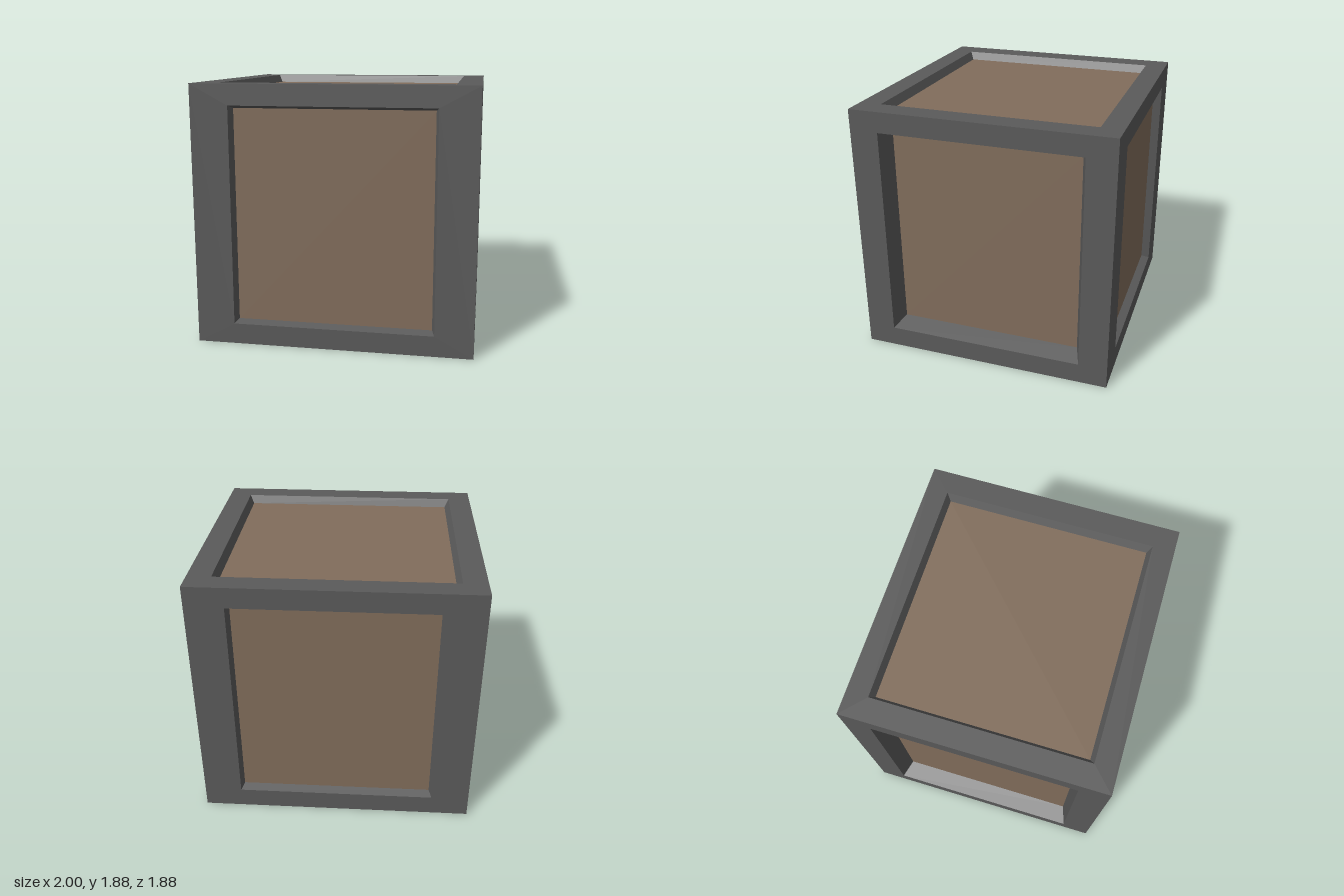
import * as THREE from 'three';

const W = 2, H = 1.88, D = 1.88;

// Flat-shaded band joining two rectangles [halfWidth, halfHeight, z], facing +z
function band(a, b) {
  const corners = ([w, h, z]) => [[-w, -h, z], [w, -h, z], [w, h, z], [-w, h, z]];
  const A = corners(a), B = corners(b), pos = [];
  for (let i = 0; i < 4; i++) {
    const j = (i + 1) % 4;
    pos.push(...A[i], ...A[j], ...B[j], ...A[i], ...B[j], ...B[i]);
  }
  const g = new THREE.BufferGeometry();
  g.setAttribute('position', new THREE.Float32BufferAttribute(pos, 3));
  g.computeVertexNormals();
  return g;
}

export function createModel() {
  const frameMat = new THREE.MeshStandardMaterial({ color: 0x5a5a5a });
  frameMat.name = 'dark grey frame';
  const panelMat = new THREE.MeshStandardMaterial({ color: 0x816d5b });
  panelMat.name = 'brown panel';

  const crate = new THREE.Group();
  crate.name = 'crate';

  // One side: flat border, sloped recess walls and a sunken panel
  function addSide(name, size, opening, inset, depth, offset, rx, ry) {
    const side = new THREE.Group();
    side.name = name;
    const [w, h] = opening;
    const add = (part, geometry, material) => {
      const mesh = new THREE.Mesh(geometry, material);
      mesh.name = part;
      side.add(mesh);
      return mesh;
    };
    add('border', band([size[0] / 2, size[1] / 2, offset], [w, h, offset]), frameMat);
    add('recessWalls', band([w, h, offset], [w - inset, h - inset, offset - depth]), frameMat);
    add('panel', new THREE.PlaneGeometry(2 * (w - inset), 2 * (h - inset)), panelMat)
      .position.z = offset - depth;
    side.rotation.set(rx, ry, 0);
    side.position.y = H / 2;
    crate.add(side);
  }

  const q = Math.PI / 2;
  // Front and back
  addSide('frontSide', [W, H], [0.725, 0.79], 0.02, 0.063, D / 2, 0, 0);
  addSide('backSide', [W, H], [0.725, 0.79], 0.02, 0.063, D / 2, 0, Math.PI);
  // Left and right, with the deepest recesses
  addSide('leftSide', [D, H], [0.73, 0.79], 0.046, 0.135, W / 2, 0, q);
  addSide('rightSide', [D, H], [0.73, 0.79], 0.046, 0.135, W / 2, 0, -q);
  // Top and bottom
  addSide('topSide', [W, D], [0.83, 0.78], 0.03, 0.06, H / 2, -q, 0);
  addSide('bottomSide', [W, D], [0.83, 0.78], 0.03, 0.06, H / 2, q, 0);

  return crate;
}
